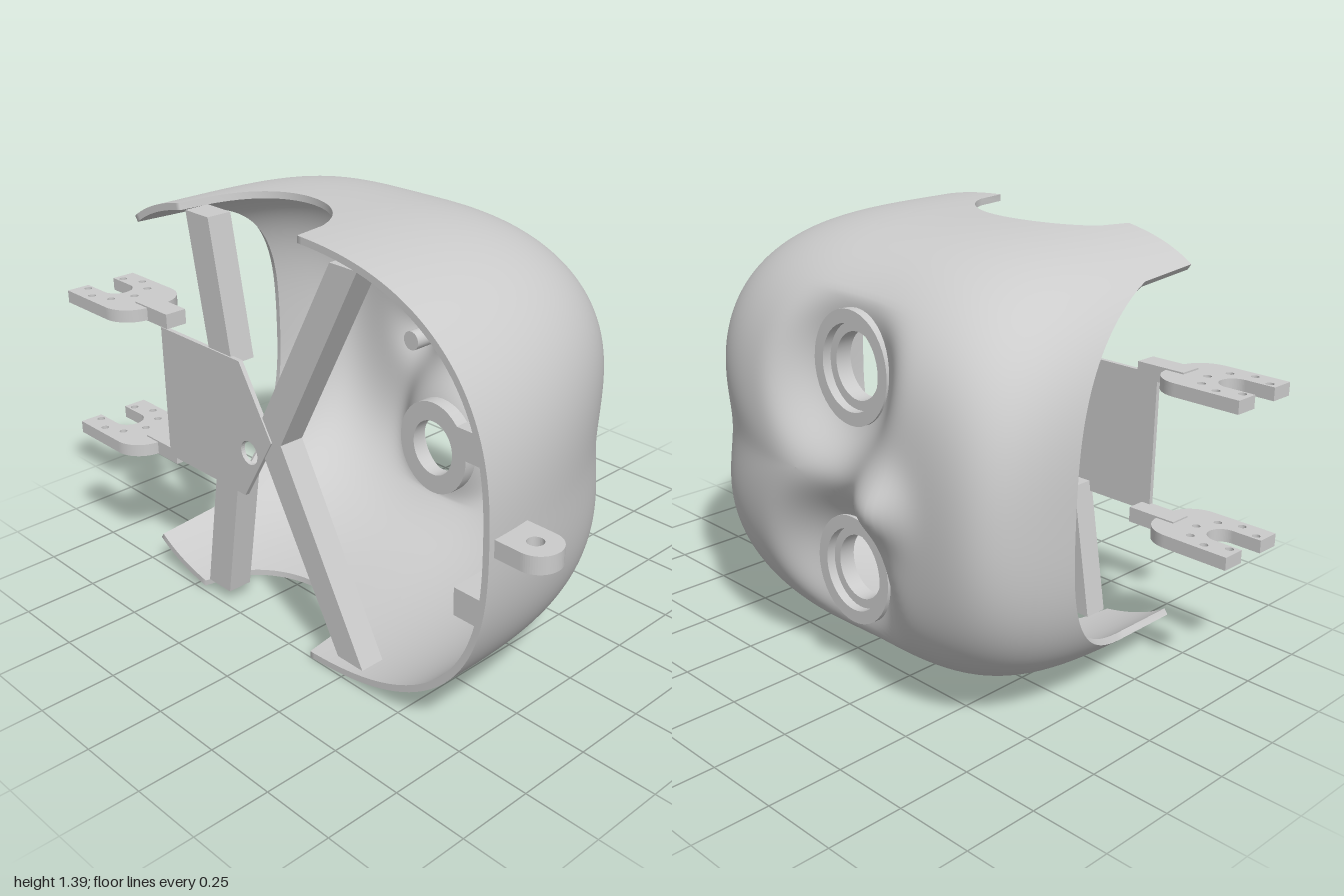
import * as THREE from 'three';

const MID = 0.695;            // middle of the face width (y)
const EYES = [MID - 0.322, MID + 0.322], EYE_Z = -0.14;
const lerp = THREE.MathUtils.lerp;
const bump = (v, w, p = 2) => Math.exp(-Math.pow(Math.abs(v / w), p));

// Point on the face: th runs round the head, t from the middle of the face to the back edge
function facePoint(th, t) {
  const cy = Math.cos(th), cz = Math.sin(th), up = cz > 0, w = cz * cz;
  const p = up ? 2.6 : 3.35;
  const k = Math.pow(Math.abs(cy) ** p + Math.abs(cz) ** p, -1 / p);
  const n = up ? lerp(4, 2.5, w) : lerp(4, 13, w * w), m = lerp(4.2, up ? 2 : 4, w);
  const a = t * Math.PI / 2, sa = Math.sin(a), ca = Math.max(0, Math.cos(a));
  let lo = 0, hi = 1.5;
  for (let i = 0; i < 26; i++) {
    const q = (lo + hi) / 2;
    if ((q * sa) ** n + (q * ca) ** m > 1) hi = q; else lo = q;
  }
  const r = lo * sa, d = lo * ca;
  const y = 0.695 * cy * k * r, z = (up ? 0.84 : 0.865) * cz * k * r;
  let x = -0.5 + d * (1 - 0.09 * (y / 0.695) ** 2);
  // bridge dip, nose and eye sockets
  x -= 0.05 * d * bump(z + 0.17, 0.14) * bump(y, 0.4);
  x += 0.08 * bump(y, 0.1) * bump(z + 0.41, z > -0.41 ? 0.13 : 0.08);
  for (const e of EYES) {
    const dist = Math.hypot((y + MID - e) / 1.1, z - EYE_Z);
    x = lerp(x, Math.min(x, 0.35), bump(dist, 0.225, 4));
  }
  return new THREE.Vector3(x, y + MID, z);
}

// True where the mask has material: above the jaw edge and outside the ear cutouts
function inMask({ x, z }) {
  const jaw = x < -0.3 ? -0.685 : -0.685 - 0.167 * ((x + 0.3) / 0.5) ** 1.12;
  const ear = ((x + 0.48) / 0.26) ** 2 + ((z + 0.165) / 0.27) ** 2 < 1;
  return (x > 0.22 || z > jaw) && !ear;
}

function edgeOf(th) {
  let lo = 0.3;
  while (lo < 1 && inMask(facePoint(th, Math.min(1, lo + 0.015)))) lo += 0.015;
  if (lo >= 1) return 1;
  let hi = Math.min(1, lo + 0.015);
  for (let i = 0; i < 12; i++) {
    const q = (lo + hi) / 2;
    if (inMask(facePoint(th, q))) lo = q; else hi = q;
  }
  return lo;
}

// Surface through closed rings of points; skip(centre) leaves out faces
function skin(rings, flip, skip = () => false) {
  const n = rings[0].length, idx = [];
  const at = (i, j) => rings[i][j % n];
  for (let i = 0; i < rings.length - 1; i++) for (let j = 0; j < n; j++) {
    const c = at(i, j).clone().add(at(i + 1, j + 1)).multiplyScalar(0.5);
    if (skip(c)) continue;
    const a = i * n + j, b = a + n, d = i * n + (j + 1) % n, e = d + n;
    idx.push(...(flip ? [a, e, b, a, d, e] : [a, b, e, a, e, d]));
  }
  const g = new THREE.BufferGeometry().setFromPoints(rings.flat());
  g.setIndex(idx);
  g.computeVertexNormals();
  return g;
}

export function createModel() {
  const group = new THREE.Group();
  const solid = new THREE.MeshStandardMaterial({ color: 0xcccccc });
  const sheet = new THREE.MeshStandardMaterial({ color: 0xcccccc, side: THREE.DoubleSide });
  const add = (name, geo, mat = solid) => {
    const mesh = new THREE.Mesh(geo, mat);
    mesh.name = name;
    group.add(mesh);
  };
  const outline = pts => new THREE.Shape(pts.map(q => new THREE.Vector2(...q)));
  const hole = (shape, x, y, r) => shape.holes.push(new THREE.Path().absarc(x, y, r, 0, Math.PI * 2, true));
  const extrude = (shape, depth) => new THREE.ExtrudeGeometry(shape, { depth, bevelEnabled: false, curveSegments: 16 });
  // upright slab drawn in (z, y), and level slab drawn in (x, z)
  const upright = (name, shape, x, depth) => add(name, extrude(shape, depth).rotateY(-Math.PI / 2).translate(x, 0, 0));
  const level = (name, shape, y, depth) => add(name, extrude(shape, depth).rotateX(Math.PI / 2).translate(0, y, 0));

  // Mask shell: outer skin, inner skin and the rim joining them.
  // Rows are even over the face and only the last ones stretch to meet the edge.
  const N = 300, FACE = 44, ROWS = 72, T = 0.55;
  const rings = Array.from({ length: ROWS + 1 }, () => []);
  for (let j = 0; j < N; j++) {
    const th = j / N * Math.PI * 2, end = edgeOf(th);
    for (let i = 0; i <= ROWS; i++) {
      const t = i < FACE ? i / FACE * T : lerp(T, end, (i - FACE) / (ROWS - FACE));
      rings[i].push(facePoint(th, Math.max(0.002, t)));
    }
  }
  const inEye = c => c.x > 0 && EYES.some(e => Math.hypot((c.y - e) / 1.1, c.z - EYE_Z) < 0.13);
  const nor = skin(rings, false).attributes.normal;
  const inner = rings.map((ring, i) => ring.map((v, j) => {
    const q = v.clone().addScaledVector(new THREE.Vector3().fromBufferAttribute(nor, i * N + j), -0.022);
    q.x = Math.max(q.x, -0.5);
    return q;
  }));
  add('maskOuter', skin(rings, false, inEye), sheet);
  add('maskInner', skin(inner, true, inEye), sheet);
  add('maskRim', skin([rings[ROWS], inner[ROWS]], false), sheet);

  // Stepped eye rings
  const profile = [[0.095, 0.3], [0.16, 0.3], [0.16, 0.385], [0.122, 0.385], [0.122, 0.355], [0.095, 0.355], [0.095, 0.3]];
  for (const e of EYES) for (let i = 1; i < profile.length; i++) {
    const step = [profile[i - 1], profile[i]].map(q => new THREE.Vector2(...q));
    const g = new THREE.LatheGeometry(step, 40).rotateZ(-Math.PI / 2);
    g.scale(1, 1.1, 1).translate(0, e, EYE_Z);
    add('eyeRing', g, sheet);
  }

  // Braces across the open back, meeting at the mounting plate
  for (const s of [-1, 1]) {
    const at = v => MID + s * v;
    const brace = pts => outline(pts.map(([z, v]) => [z, at(v)]));
    upright('foreheadBrace', brace([[-0.14, 0], [-0.02, 0], [0.33, 0.64], [0.22, 0.64]]), -0.4, 0.085);
    upright('jawBrace', brace([[-0.35, 0.2], [-0.24, 0.2], [-0.32, 0.65], [-0.43, 0.65]]), -0.4, 0.085);
  }

  // Thin mounting plate with a round hole
  const plate = outline([[-0.6, 0.46], [-0.2, 0.46], [-0.06, 0.69], [-0.2, 0.92], [-0.6, 0.92]]);
  hole(plate, -0.17, 0.62, 0.04);
  upright('mountingPlate', plate, -0.475, 0.015);

  // Forked brackets behind the chin, each with a tab to the plate
  for (const y of [0.965, 0.48]) {
    const cx = -0.45, f = new THREE.Shape();
    f.moveTo(cx - 0.13, -1);
    f.lineTo(cx - 0.05, -1);
    f.lineTo(cx - 0.05, -0.9);
    f.absarc(cx, -0.9, 0.05, Math.PI, 0, true);
    f.lineTo(cx + 0.05, -1);
    f.lineTo(cx + 0.13, -1);
    f.lineTo(cx + 0.13, -0.78);
    f.absarc(cx + 0.03, -0.775, 0.1, 0, Math.PI / 2, false);
    f.absarc(cx - 0.03, -0.775, 0.1, Math.PI / 2, Math.PI, false);
    for (const s of [-1, 1]) {
      hole(f, cx + s * 0.07, -0.97, 0.013);
      hole(f, cx + s * 0.1, -0.9, 0.013);
      hole(f, cx + s * 0.072, -0.83, 0.013);
    }
    hole(f, cx, -0.8, 0.013);
    level('forkBracket', f, y, 0.042);
    add('bracketTab', new THREE.BoxGeometry(0.075, 0.05, 0.17).translate(cx, y - 0.02, -0.655));
  }

  // Hanging lug at the crown
  const lug = new THREE.Shape();
  lug.moveTo(-0.48, 0.825);
  lug.lineTo(-0.34, 0.82);
  lug.absarc(-0.41, 0.93, 0.07, 0, Math.PI, false);
  hole(lug, -0.41, 0.92, 0.025);
  level('crownLug', lug, 0.725, 0.055);

  // Ribs inside the forehead
  for (const y of [0.455, 0.945]) {
    level('foreheadRib', outline([[-0.46, 0.68], [0.02, 0.66], [-0.02, 0.7], [-0.14, 0.73], [-0.46, 0.78]]), y + 0.045, 0.09);
  }

  // Peg behind the nose
  add('nosePeg', new THREE.CylinderGeometry(0.035, 0.035, 0.12, 24).rotateZ(Math.PI / 2).translate(0.36, 0.75, -0.25));
  return group;
}
